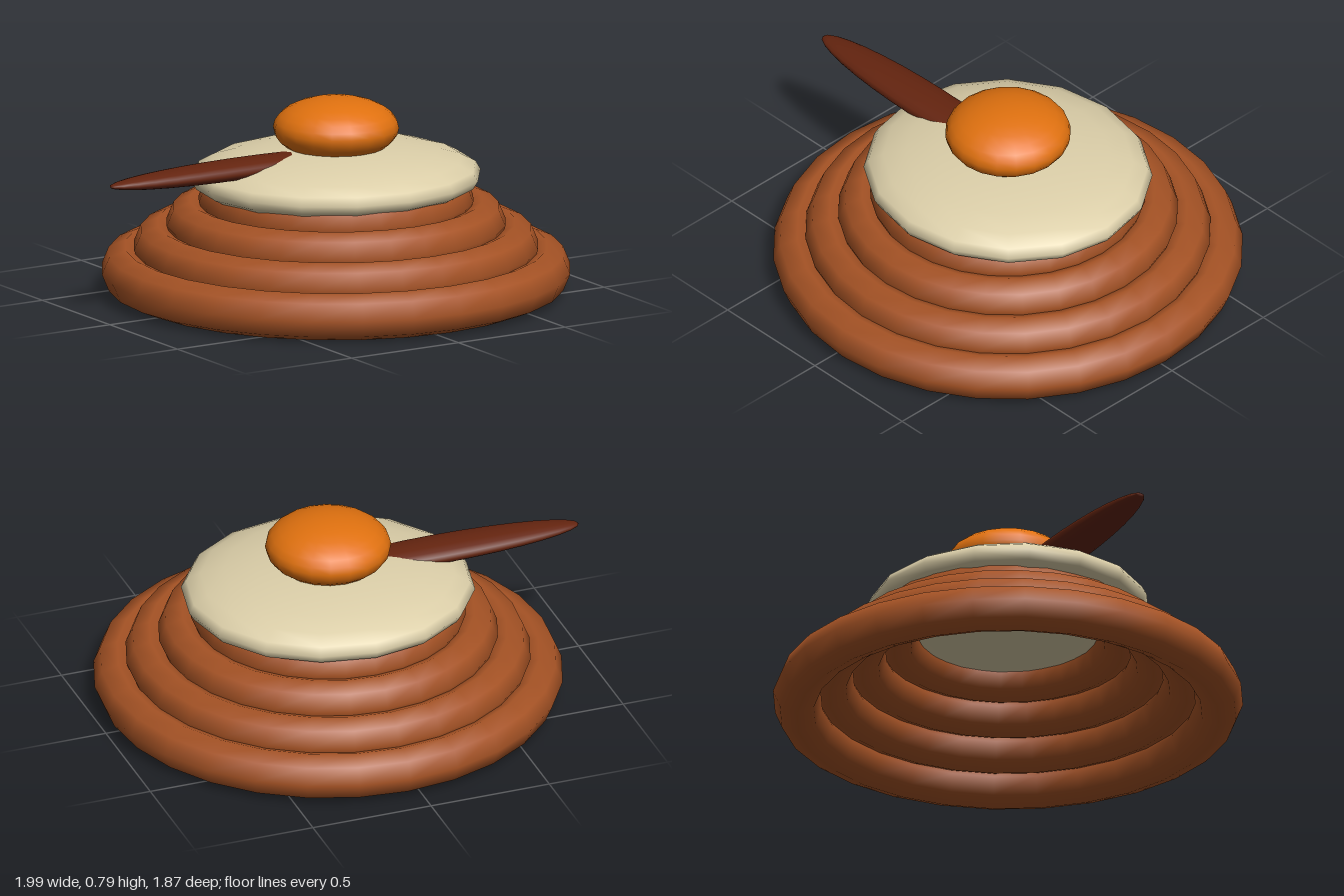
import * as THREE from 'three';

export function createModel() {
  const group = new THREE.Group();
  const material = (name, color) => {
    const m = new THREE.MeshStandardMaterial({ color });
    m.name = name;
    return m;
  };
  const brown = material('caramel brown', 0xa65325);
  const cream = material('cream', 0xdccfa9);
  const orange = material('orange', 0xe0710f);
  const darkBrown = material('dark brown', 0x64240f);
  const cx = 0.06;

  const add = (name, geometry, mat, x, y) => {
    const mesh = new THREE.Mesh(geometry, mat);
    mesh.name = name;
    mesh.position.set(x, y, 0);
    group.add(mesh);
  };

  // Stacked, shrinking rings that form the hollow base
  const tube = 0.095;
  [0.838, 0.71, 0.58, 0.452].forEach((radius, i) => {
    const ring = new THREE.TorusGeometry(radius, tube, 8, 28).rotateX(-Math.PI / 2);
    add('baseRing' + (i + 1), ring, brown, cx, tube * (i + 1));
  });

  // Flattened cream layer, slightly wider across x
  add('creamLayer', new THREE.SphereGeometry(1, 16, 12).scale(0.587, 0.13, 0.558), cream, cx, 0.475);

  // Rounded topping
  add('topping', new THREE.SphereGeometry(1, 20, 14).scale(0.25, 0.122, 0.25), orange, cx, 0.67);

  // Slender stick with its poles along x, sunk into the cream
  const stick = new THREE.SphereGeometry(1, 16, 16).rotateZ(Math.PI / 2).scale(0.6, 0.04, 0.096);
  add('stick', stick, darkBrown, -0.4, 0.559);

  return group;
}
